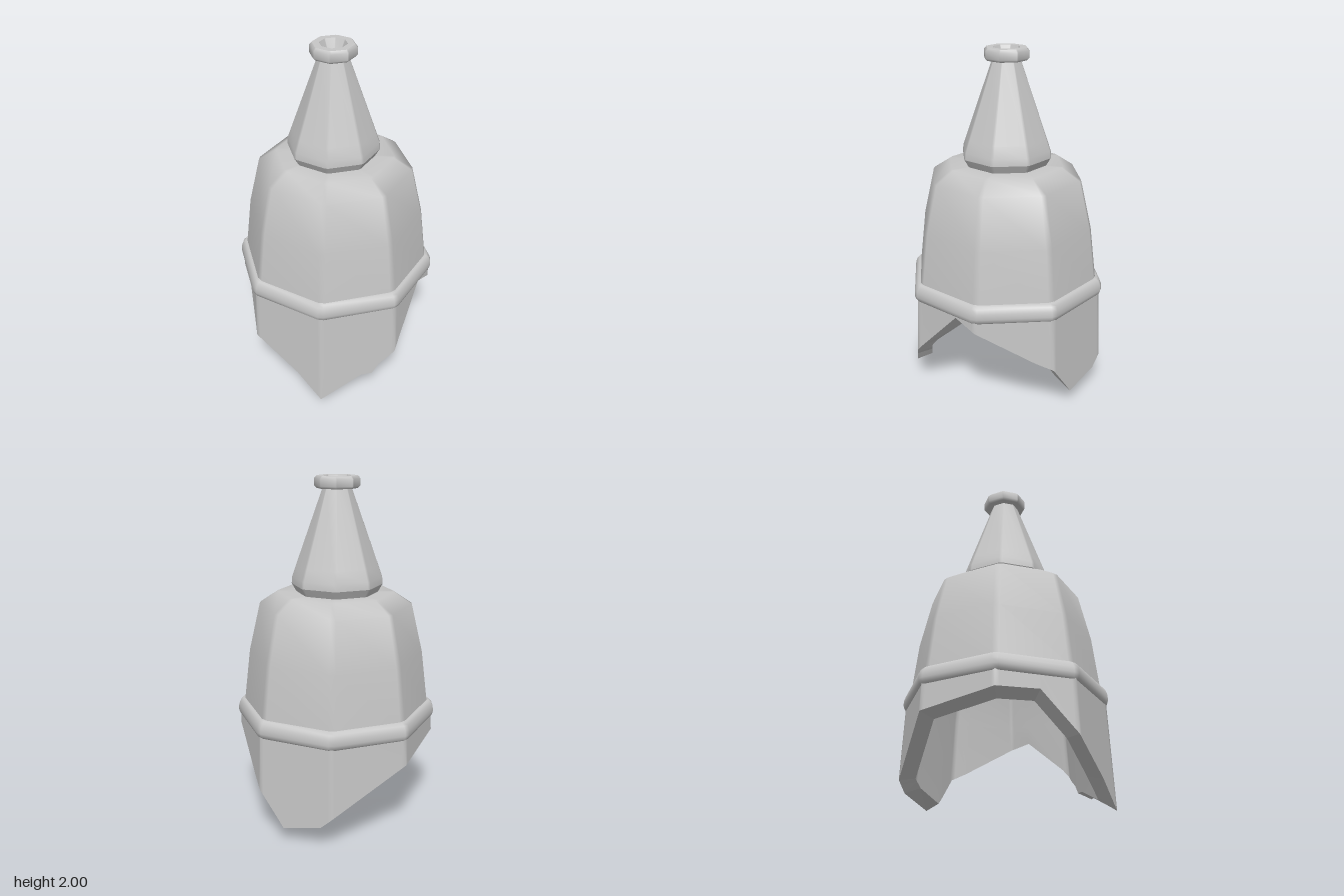
import * as THREE from 'three';

const metal = new THREE.MeshStandardMaterial({ color: 0xc6c6c6 });
metal.name = 'light grey metal';

// Point on an eight-sided ring: u counts corners, fractions run along a side.
function ringPoint(u, r, y, offset = 0) {
  const corner = (k) => THREE.MathUtils.degToRad(45 * k - 10);
  const k = Math.floor(u), t = u - k;
  const mix = (f) => r * (f(corner(k)) * (1 - t) + f(corner(k + 1)) * t);
  return new THREE.Vector3(mix(Math.cos) + offset, y, mix(Math.sin) + offset);
}

// Skin over closed loops of points; loops listed upward face outward.
function loft(loops) {
  const n = loops[0].length, index = [];
  for (let j = 0; j < loops.length - 1; j++) {
    for (let i = 0; i < n; i++) {
      const a = j * n + i, b = j * n + (i + 1) % n;
      index.push(a, a + n, b + n, a, b + n, b);
    }
  }
  const g = new THREE.BufferGeometry().setFromPoints(loops.flat());
  g.setIndex(index);
  g.computeVertexNormals();
  return g;
}

function addMesh(parent, name, geometry) {
  const mesh = new THREE.Mesh(geometry, metal);
  mesh.name = name;
  parent.add(mesh);
}

// Eight-sided turned part with narrow bevelled corners, from [radius, y] pairs.
function turned(profile, bevel, offset = 0) {
  const us = [];
  for (let k = 0; k < 8; k++) us.push(k + bevel, k + 1 - bevel);
  return loft(profile.map(([r, y]) => us.map((u) => ringPoint(u, r, y, offset))));
}

// Jagged lower edge: [position around, outer height, inner height]
const EDGE = [
  [0, 0.29, 0.285], [0.23, 0.34, 0.33], [1, 0.54, 0.5], [1.32, 0.59, 0.525],
  [1.9, 0.33, 0.335], [2, 0.28, 0.29], [2.07, 0.25, 0.26], [2.22, 0.2, 0.215],
  [2.31, 0.14, 0.165], [2.46, 0.14, 0.16], [3, 0.005, 0.065], [3.36, 0.14, 0.16],
  [4, 0.3, 0.3], [4.45, 0.52, 0.485], [5, 0.51, 0.475], [6, 0.45, 0.425],
  [7, 0.2, 0.205], [7.15, 0.14, 0.165], [7.66, 0.09, 0.12], [7.74, 0.14, 0.155],
  [8, 0.29, 0.285],
];

// Height of the jagged edge at u; column 1 is the outside, 2 the inside
function edgeHeight(u, column) {
  const i = EDGE.findIndex((p, n) => n > 0 && u <= p[0]);
  const a = EDGE[i - 1], b = EDGE[i];
  return THREE.MathUtils.mapLinear(u, a[0], b[0], a[column], b[column]);
}

// Bell body profile, rounded at the shoulder
const BODY = [[0.548, 0.69], [0.51, 1.0], [0.444, 1.28], [0.338, 1.35], [0.18, 1.35]];
const INNER = 0.84; // the inside is the outside shrunk about y = 0.3

export function createModel() {
  const model = new THREE.Group();
  model.name = 'brokenBell';

  // Broken skirt: columns at each edge point plus a soft band at each corner
  const us = EDGE.slice(0, -1).map((p) => p[0]);
  for (let k = 0; k < 8; k++) us.push(k + 0.05, k + 0.95);
  us.sort((a, b) => a - b);
  const flare = (y) => 0.568 + 0.045 * (0.6 - y);
  const rim = (column, scale) => us.map((u) => ringPoint(
    u, flare(edgeHeight(u, 1)) * scale, edgeHeight(u, column)));
  const outerRim = rim(1, 1), innerRim = rim(2, INNER);
  const loop = (r, y) => us.map((u) => ringPoint(u, r, y));

  const skirt = new THREE.Group();
  skirt.name = 'skirt';
  model.add(skirt);
  addMesh(skirt, 'skirtOutside', loft([outerRim, loop(0.568, 0.62)]));
  const inside = BODY.map(([r, y]) => loop(r * INNER, 0.3 + (y - 0.3) * INNER)).reverse();
  addMesh(skirt, 'skirtInside', loft([loop(0, 0.3 + 1.05 * INNER), ...inside, innerRim]));
  // Broken face kept crisp
  const broken = loft([innerRim, outerRim]).toNonIndexed();
  broken.computeVertexNormals();
  addMesh(skirt, 'brokenEdge', broken);

  // Rounded band
  addMesh(model, 'band', turned([
    [0.53, 0.595], [0.568, 0.597], [0.58, 0.608], [0.587, 0.63], [0.584, 0.66],
    [0.574, 0.685], [0.56, 0.698], [0.535, 0.702],
  ], 0.04));

  addMesh(model, 'body', turned(BODY, 0.05));

  // Spire with an undercut foot
  const off = -0.006;
  const spire = new THREE.Group();
  spire.name = 'spire';
  model.add(spire);
  addMesh(spire, 'spireFoot', turned([[0.235, 1.345], [0.264, 1.395]], 0.05, off));
  addMesh(spire, 'spireCone', turned([
    [0.264, 1.395], [0.261, 1.435], [0.238, 1.5], [0.082, 1.935],
  ], 0.05, off));

  // Collar: rounded outside, flat top, shallow socket
  addMesh(spire, 'collar', turned([
    [0.07, 1.932], [0.118, 1.932], [0.13, 1.945], [0.13, 1.985], [0.116, 2],
  ], 0.05, off));
  addMesh(spire, 'collarTop', turned([[0.116, 2], [0.077, 2]], 0.05, off));
  addMesh(spire, 'socketWall', turned([[0.077, 2], [0.05, 1.94]], 0.05, off));
  addMesh(spire, 'socketFloor', turned([[0.05, 1.94], [0, 1.94]], 0.05, off));
  return model;
}
